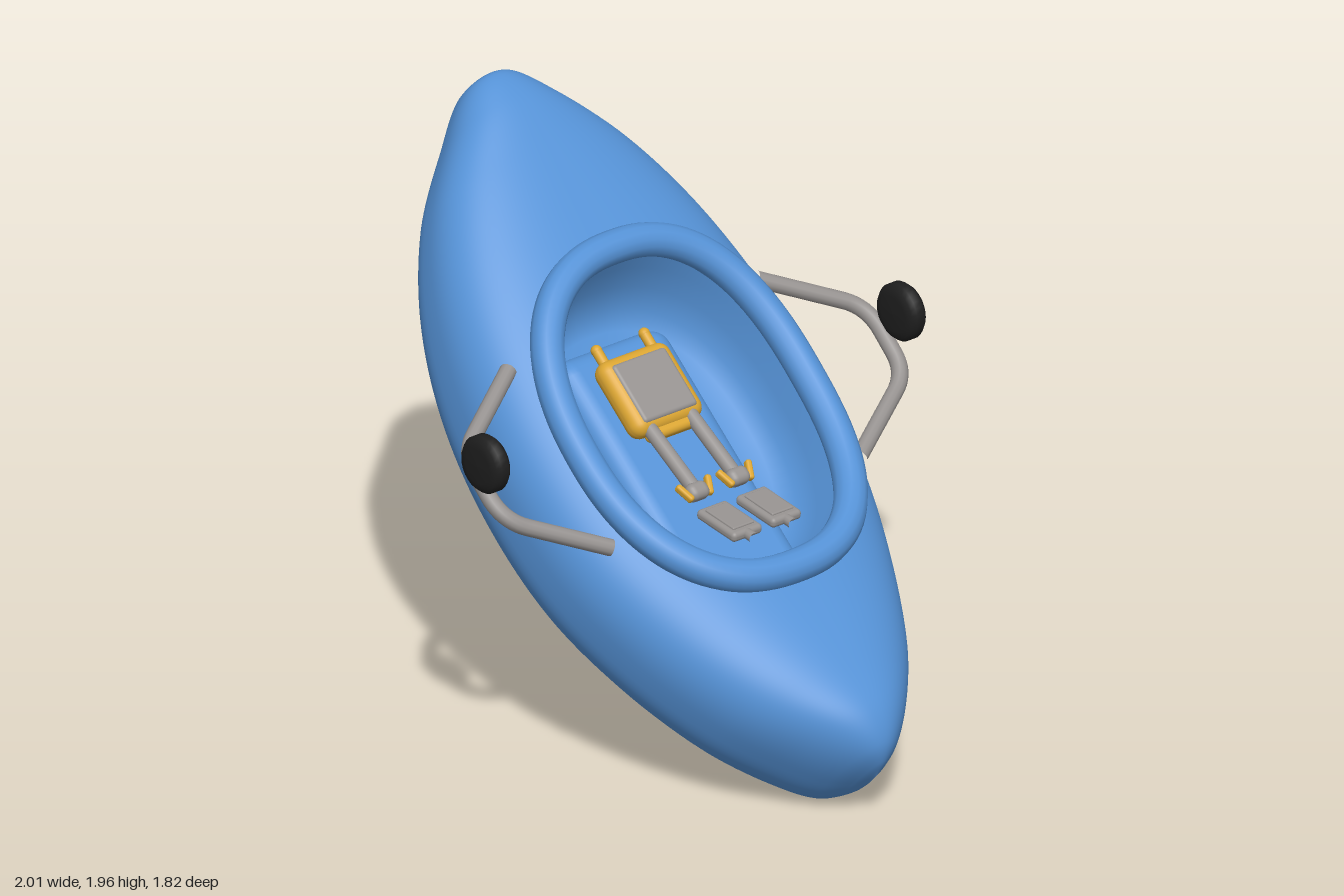
import * as THREE from 'three';
import { RoundedBoxGeometry } from 'three/addons/geometries/RoundedBoxGeometry.js';

const mat = (name, color, side = THREE.FrontSide) => {
  const m = new THREE.MeshStandardMaterial({ color, side });
  m.name = name;
  return m;
};

const V = (x, y, z = 0) => new THREE.Vector3(x, y, z);

// Signed power, for superellipses
const sp = (v, e) => Math.sign(v) * Math.pow(Math.abs(v), e);

// Rows of points joined into a smooth surface; keep() may drop faces
function loft(rows, keep = () => true) {
  const n = rows[0].length, index = [];
  const pts = rows.flat();
  const tri = (a, b, c) => {
    const m = pts[a].clone().add(pts[b]).add(pts[c]).divideScalar(3);
    if (keep(m)) index.push(a, b, c);
  };
  for (let i = 0; i < rows.length - 1; i++) {
    for (let j = 0; j < n; j++) {
      const k = (j + 1) % n;
      const a = i * n + j, b = (i + 1) * n + j, c = (i + 1) * n + k, d = i * n + k;
      tri(a, b, c);
      tri(a, c, d);
    }
  }
  const g = new THREE.BufferGeometry().setFromPoints(pts);
  g.setIndex(index);
  g.computeVertexNormals();
  return g;
}

// Cockpit rim in the boat's own frame: x along the hull, y out of the deck
const RIM = { x: -0.012, a: 0.6, b: 0.47, e: 2.35 };
function rimPoint(angle, scale = 1) {
  const u = sp(Math.cos(angle), 2 / RIM.e), w = sp(Math.sin(angle), 2 / RIM.e);
  return V(RIM.x + RIM.a * u * scale, 0.12 + 0.06 * u * u - 0.02 * u, RIM.b * w * scale);
}
const inRim = (p) =>
  p.y > 0 && Math.abs((p.x - RIM.x) / RIM.a) ** RIM.e + Math.abs(p.z / RIM.b) ** RIM.e < 0.97;

function hullGeometry() {
  // Deck x, deck y, keel x, keel y, half width
  const stations = [
    [-1.335, 0.085, -1.335, 0.045, 0], [-1.31, 0.15, -1.305, -0.02, 0.1],
    [-1.2, 0.19, -1.18, -0.125, 0.22], [-1.0, 0.2, -1.0, -0.23, 0.385],
    [-0.75, 0.2, -0.75, -0.337, 0.515], [-0.45, 0.195, -0.45, -0.42, 0.6],
    [-0.1, 0.18, -0.1, -0.465, 0.635], [0.3, 0.16, 0.3, -0.468, 0.61],
    [0.65, 0.155, 0.65, -0.437, 0.505], [0.95, 0.16, 0.93, -0.395, 0.36],
    [1.13, 0.148, 1.1, -0.348, 0.22], [1.225, 0.1, 1.2, -0.29, 0.12],
    [1.265, 0.04, 1.25, -0.2, 0.05], [1.28, -0.03, 1.278, -0.08, 0],
  ];
  const deck = new THREE.CatmullRomCurve3(stations.map((s) => V(s[0], s[1], s[4])));
  const keel = new THREE.CatmullRomCurve3(stations.map((s) => V(s[2], s[3], 0)));
  const rows = [], N = 156, M = 108, widest = 0.45;
  for (let i = 0; i <= N; i++) {
    const T = deck.getPoint(i / N), B = keel.getPoint(i / N), row = [];
    const width = Math.max(T.z, 0);
    // Peaked deck at the ends, flatter amidships; boxier underside
    const deckPower = 2 + 1.1 * width;
    for (let j = 0; j < M; j++) {
      const a = (j / M) * Math.PI * 2;
      const power = 2 / (Math.sin(a) > 0 ? deckPower : 2.8);
      const up = sp(Math.sin(a), power);
      const h = widest + up * (up > 0 ? 1 - widest : widest);
      row.push(V(
        B.x + (T.x - B.x) * h,
        B.y + (T.y - B.y) * h,
        width * sp(Math.cos(a), power),
      ));
    }
    rows.push(row);
  }
  return loft(rows, (p) => !inRim(p));
}

// Cockpit interior: rings shrinking from the rim down to the floor
function tubGeometry() {
  const levels = [[1, null], [0.95, 0.06], [0.91, -0.02], [0.85, -0.1], [0.75, -0.14], [0.5, -0.15], [0, -0.15]];
  return loft(levels.map(([scale, y]) => {
    const row = [];
    for (let j = 0; j < 72; j++) {
      const p = rimPoint((j / 72) * Math.PI * 2, scale);
      if (y !== null) p.y = y;
      row.push(p);
    }
    return row;
  }));
}

export function createModel() {
  const blue = mat('hull blue', 0x5592d6);
  const blueInside = mat('cockpit blue', 0x5592d6, THREE.DoubleSide);
  const grey = mat('metal grey', 0x969290);
  const black = mat('tyre black', 0x1e1e1e);
  const yellow = mat('trim yellow', 0xdca632);

  const model = new THREE.Group();
  model.name = 'kayak';
  const boat = new THREE.Group();
  boat.name = 'tiltedBoat';
  boat.rotation.z = -0.7034;
  boat.position.y = 1;
  model.add(boat);

  const add = (parent, name, geometry, material, x = 0, y = 0, z = 0) => {
    const m = new THREE.Mesh(geometry, material);
    m.name = name;
    m.position.set(x, y, z);
    parent.add(m);
    return m;
  };
  const box = (w, h, d, r) => new RoundedBoxGeometry(w, h, d, 4, r);
  const rod = (parent, name, a, b, r, material) => {
    add(parent, name, new THREE.TubeGeometry(new THREE.LineCurve3(a, b), 1, r, 12), material);
  };

  // Hull, cockpit and raised rim
  add(boat, 'hull', hullGeometry(), blue);
  add(boat, 'cockpitTub', tubGeometry(), blueInside);
  const rimPath = [];
  for (let i = 0; i < 48; i++) rimPath.push(rimPoint((i / 48) * Math.PI * 2));
  add(boat, 'cockpitRim', new THREE.TubeGeometry(
    new THREE.CatmullRomCurve3(rimPath, true), 120, 0.056, 14, true), blue);
  add(boat, 'seatBlock', box(1.0, 0.16, 0.47, 0.07), blue, 0.09, -0.14, 0);

  // Seated figure: torso with panel, shoulders, legs and feet
  const figure = new THREE.Group();
  figure.name = 'figure';
  boat.add(figure);
  add(figure, 'torso', box(0.28, 0.09, 0.29, 0.042), yellow, -0.19, -0.025, 0);
  add(figure, 'torsoPanel', box(0.22, 0.03, 0.225, 0.014), grey, -0.188, 0.012, 0);
  add(figure, 'hips', box(0.06, 0.05, 0.2, 0.02), yellow, -0.055, -0.025, 0);
  for (const side of [1, -1]) {
    const z = 0.085 * side;
    rod(figure, 'shoulderPin', V(-0.3, -0.02, 0.1 * side), V(-0.375, -0.02, 0.1 * side), 0.018, yellow);
    add(figure, 'shoulder', new THREE.SphereGeometry(0.019, 14, 10), yellow, -0.375, -0.02, 0.1 * side);
    rod(figure, 'leg', V(-0.07, -0.01, z), V(0.22, 0.035, z), 0.025, grey);
    add(figure, 'ankle', box(0.06, 0.055, 0.08, 0.024), grey, 0.2, 0.035, z);
    for (const edge of [1, -1]) {
      const clamp = add(figure, 'ankleClamp', box(0.07, 0.028, 0.022, 0.009), yellow, 0.195, 0.04, z + 0.05 * edge);
      clamp.rotation.y = 0.4 * edge;
    }
    // Feet lie nearly level once the boat is tilted
    const foot = add(figure, 'foot', box(0.19, 0.035, 0.125, 0.015), grey, 0.352, 0.098, z - 0.003 * side);
    foot.rotation.z = 0.58;
    add(foot, 'footPad', box(0.14, 0.012, 0.09, 0.005), grey, 0, 0.018, 0);
    rod(foot, 'toePin', V(0.08, 0, 0), V(0.12, 0, 0), 0.018, grey);
  }

  // Side outriggers, placed upright: bent strut and small wheel
  const tyreProfile = [
    [0, -0.038], [0.06, -0.036], [0.085, -0.03], [0.097, -0.015],
    [0.097, 0.015], [0.085, 0.03], [0.06, 0.036], [0, 0.038],
  ].map(([r, y]) => new THREE.Vector2(r, y));
  for (const side of [1, -1]) {
    const name = side > 0 ? 'left' : 'right';
    const path = new THREE.CurvePath();
    const p = [
      V(-0.24, 1.31, 0.52), V(-0.11, 1.2, 0.78), V(-0.075, 1.17, 0.845), V(-0.01, 1.115, 0.845),
      V(0.05, 1.06, 0.845), V(0.11, 1.01, 0.845), V(0.14, 0.975, 0.78), V(0.265, 0.865, 0.52),
    ].map((q) => V(q.x, q.y, q.z * side));
    path.add(new THREE.LineCurve3(p[0], p[1]));
    path.add(new THREE.QuadraticBezierCurve3(p[1], p[2], p[3]));
    path.add(new THREE.LineCurve3(p[3], p[4]));
    path.add(new THREE.QuadraticBezierCurve3(p[4], p[5], p[6]));
    path.add(new THREE.LineCurve3(p[6], p[7]));
    add(model, name + 'Strut', new THREE.TubeGeometry(
      new THREE.CatmullRomCurve3(path.getSpacedPoints(40)), 60, 0.028, 12), grey);
    const wheel = add(model, name + 'Wheel', new THREE.LatheGeometry(tyreProfile, 28), black, 0.06, 1.197, 0.872 * side);
    wheel.rotation.x = Math.PI / 2;
  }
  return model;
}
